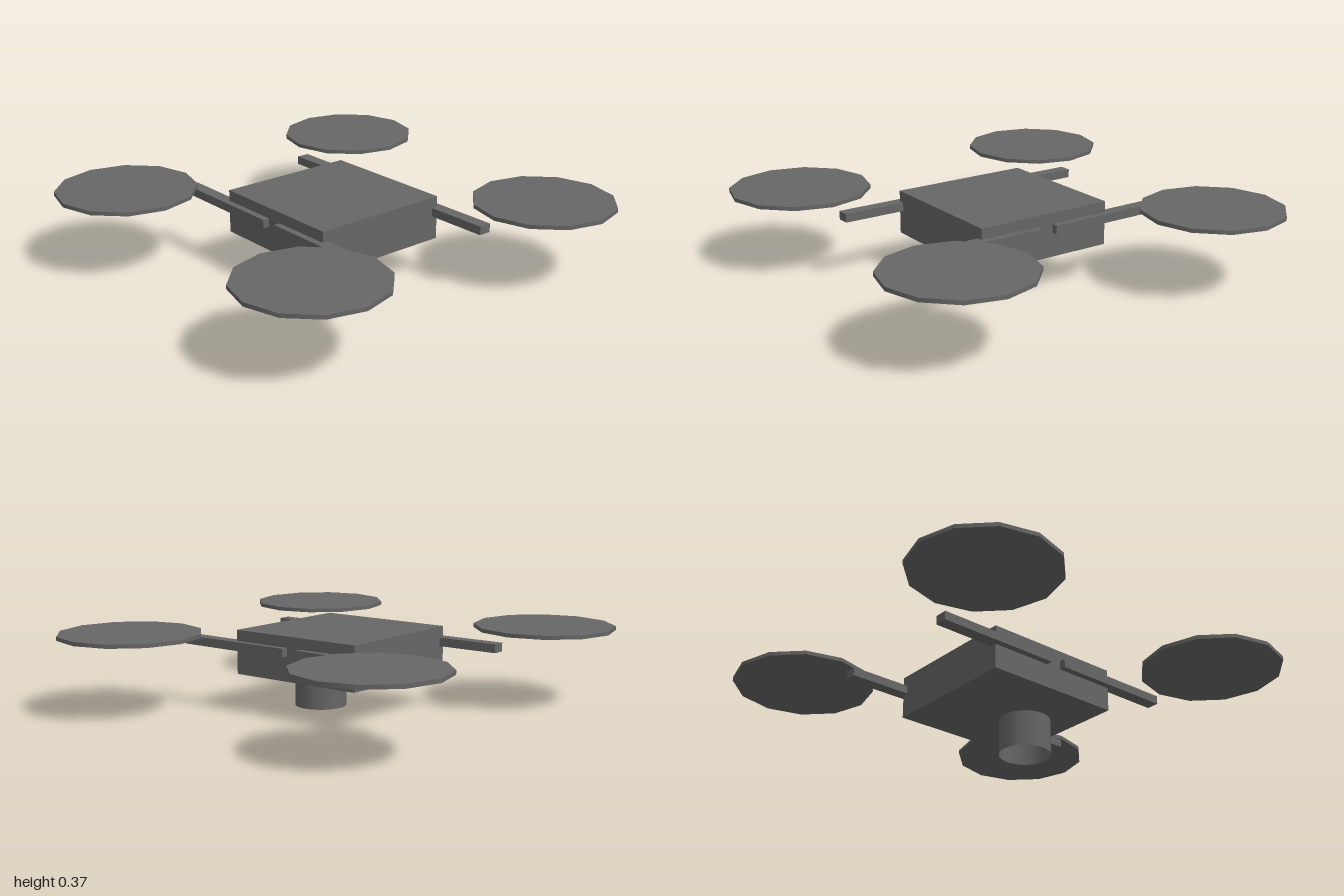
import * as THREE from 'three';

export function createModel() {
  const model = new THREE.Group();
  model.name = 'quadcopter';
  const darkGrey = new THREE.MeshStandardMaterial({ color: 0x666666, side: THREE.DoubleSide });
  darkGrey.name = 'darkGrey';

  const add = (name, geometry, x, y, z) => {
    const mesh = new THREE.Mesh(geometry, darkGrey);
    mesh.name = name;
    mesh.position.set(x, y, z);
    model.add(mesh);
  };

  // Square central body
  add('body', new THREE.BoxGeometry(0.67, 0.203, 0.67), 0, 0.272, 0);

  // Open camera tube under the front half of the body
  add('cameraTube', new THREE.CylinderGeometry(0.12, 0.12, 0.17, 32, 1, true), 0, 0.085, 0.12);

  // Four arms along the body sides, each with a twelve-sided rotor disc beyond it
  const armGeometry = new THREE.BoxGeometry(0.06, 0.04, 0.594);
  const rotorGeometry = new THREE.CylinderGeometry(0.327, 0.327, 0.018, 12);
  for (const sx of [1, -1]) {
    for (const sz of [1, -1]) {
      const corner = (sz > 0 ? 'front' : 'back') + (sx > 0 ? 'Left' : 'Right');
      add(corner + 'Arm', armGeometry, sx * 0.336, 0.303, sz * 0.336);
      add(corner + 'Rotor', rotorGeometry, sx * 0.673, 0.362, sz * 0.673);
    }
  }
  return model;
}
